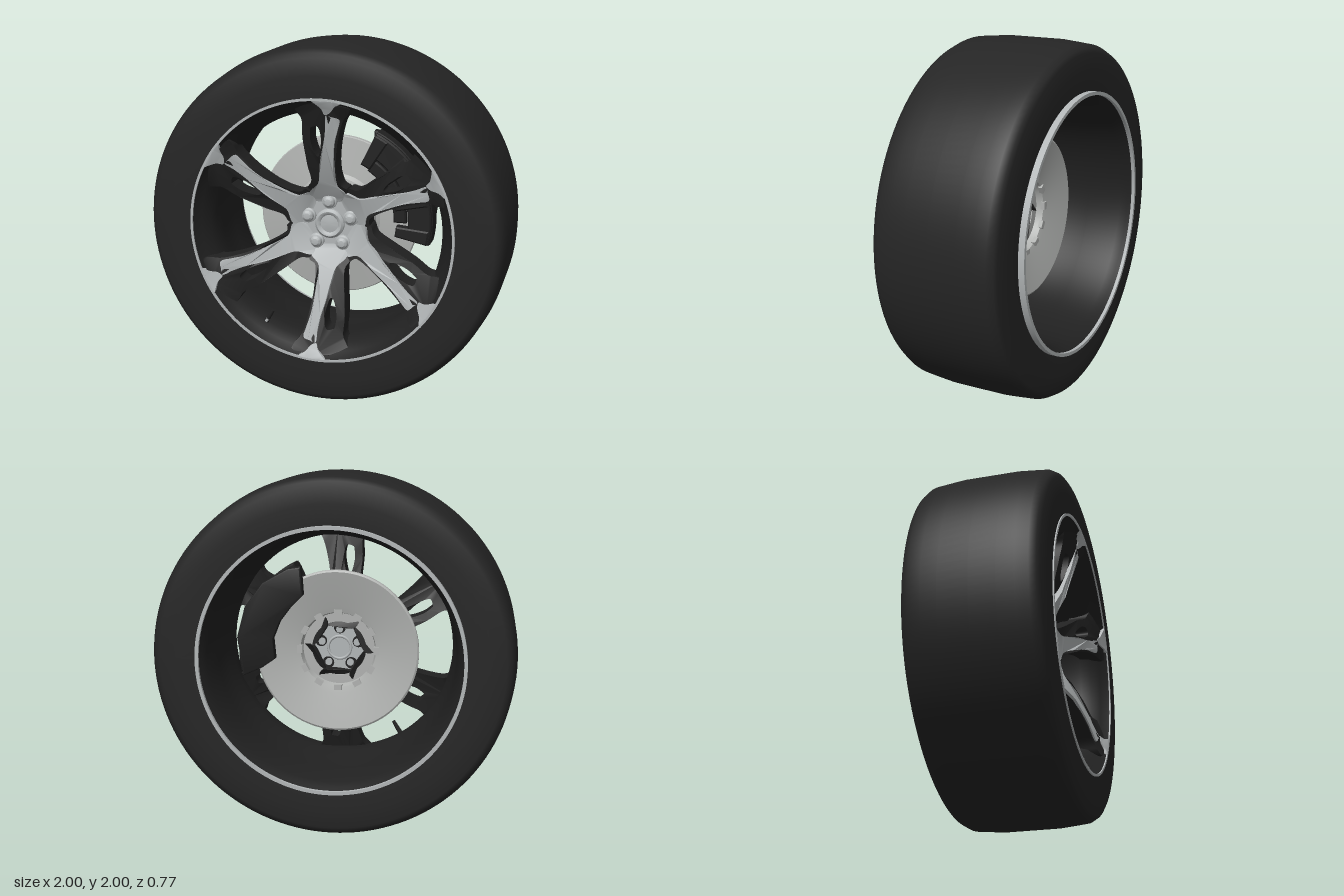
import * as THREE from 'three';
import { toCreasedNormals } from 'three/addons/utils/BufferGeometryUtils.js';

const mat = (name, color) => {
  const m = new THREE.MeshStandardMaterial({ color });
  m.name = name;
  return m;
};
const V = (a) => a.map(([x, y]) => new THREE.Vector2(x, y));

// Front height of the dished wheel face at a given radius
const LIFT = [[0, 0.15], [0.16, 0.15], [0.22, 0.2], [0.34, 0.265], [0.5, 0.31], [0.62, 0.335], [0.68, 0.362], [0.72, 0.386], [1, 0.386]];
function lift(r) {
  const i = Math.max(1, LIFT.findIndex((p) => p[0] >= r));
  const [a, b] = [LIFT[i - 1], LIFT[i]];
  return a[1] + ((b[1] - a[1]) * (r - a[0])) / (b[0] - a[0]);
}

// Turned part around the z axis; profile is [radius, z]
function turned(profile, segments = 96, crease = 0.5) {
  const g = new THREE.LatheGeometry(V(profile), segments).rotateX(Math.PI / 2);
  return crease ? toCreasedNormals(g, crease) : g;
}

// Flat outline, extruded and then bent onto the dished face
function dished(outline, depth, sink, hole) {
  const smooth = (pts) => new THREE.SplineCurve(V([...pts, pts[0]])).getPoints(pts.length * 5).slice(0, -1);
  const shape = new THREE.Shape(smooth(outline));
  if (hole) shape.holes.push(new THREE.Path(smooth(hole)));
  const g = new THREE.ExtrudeGeometry(shape, { depth, bevelEnabled: false });
  const p = g.attributes.position;
  for (let i = 0; i < p.count; i++) {
    const x = p.getX(i), y = p.getY(i);
    p.setZ(i, lift(Math.hypot(x, y)) + p.getZ(i) - depth - sink(x, y));
  }
  return toCreasedNormals(g, 0.6);
}

// Arc-shaped block between two radii and two angles (degrees)
function arcBlock(r0, r1, a0, a1, z0, z1) {
  const s = new THREE.Shape();
  const rad = Math.PI / 180;
  s.absarc(0, 0, r1, a0 * rad, a1 * rad, false);
  s.absarc(0, 0, r0, a1 * rad, a0 * rad, true);
  const b = 0.008;
  const g = new THREE.ExtrudeGeometry(s, { depth: z1 - z0 - 2 * b, bevelSize: b, bevelThickness: b, bevelSegments: 1, curveSegments: 16 });
  return toCreasedNormals(g.translate(0, 0, z0 + b), 0.5);
}

export function createModel() {
  const rubber = mat('tyre rubber', 0x252525);
  const dark = mat('dark paint', 0x212121);
  const silver = mat('machined silver', 0xb2b6b7);
  const steel = mat('brake steel', 0xb0b2b0);

  const model = new THREE.Group();
  model.name = 'wheel';
  const wheel = new THREE.Group();
  wheel.name = 'wheelAssembly';
  wheel.position.y = 1;
  model.add(wheel);
  const add = (name, geometry, material, parent = wheel) => {
    const m = new THREE.Mesh(geometry, material);
    m.name = name;
    parent.add(m);
    return m;
  };

  // Tyre
  add('tyre', turned([[0.73, -0.345], [0.85, -0.352], [0.94, -0.343], [0.965, -0.333], [0.985, -0.3], [0.992, -0.23],
    [1, -0.14], [1, 0.02], [1, 0.16], [0.992, 0.25], [0.985, 0.32], [0.965, 0.355], [0.94, 0.37], [0.85, 0.381], [0.73, 0.378]], 128, 0), rubber);

  // Rim barrel and bright lips
  add('rimBarrel', turned([[0.724, 0.384], [0.715, 0.365], [0.69, 0.33], [0.655, 0.28], [0.642, 0.22], [0.642, 0.14], [0.66, 0.05],
    [0.672, -0.1], [0.685, -0.3], [0.705, -0.34], [0.724, -0.376]], 128), dark);
  wheel.children[1].material.side = THREE.DoubleSide;
  add('frontLip', turned([[0.735, 0.35], [0.735, 0.385], [0.721, 0.385], [0.721, 0.36]], 128), silver);
  add('backLip', turned([[0.716, -0.35], [0.716, -0.38], [0.735, -0.38], [0.735, -0.33]], 128), silver);

  // Six twisted spokes: dark body with a window, bright face strip and rim tab
  const bodyGeo = dished(
    [[0.07, 0.13], [0.108, 0.203], [0.072, 0.235], [0.062, 0.34], [0.08, 0.475], [0.115, 0.6], [0.155, 0.655], [0.15, 0.69],
      [0, 0.705], [-0.15, 0.69], [-0.14, 0.65], [-0.115, 0.6], [-0.118, 0.5], [-0.106, 0.36], [-0.095, 0.25], [-0.122, 0.195], [-0.085, 0.122]],
    0.11, (x) => 0.012 + 0.25 * Math.max(0, -x),
    [[-0.066, 0.565], [-0.022, 0.57], [-0.008, 0.5], [-0.03, 0.405], [-0.055, 0.42], [-0.073, 0.5]]);
  const faceGeo = dished(
    [[0.065, 0.12], [0.096, 0.18], [0.058, 0.22], [0.046, 0.26], [0.05, 0.34], [0.066, 0.475], [0.09, 0.56], [0.103, 0.615],
      [0.065, 0.632], [0.03, 0.638], [0.025, 0.58], [0.012, 0.5], [-0.015, 0.4], [-0.034, 0.3], [-0.052, 0.235], [-0.108, 0.173], [-0.078, 0.115]],
    0.04, () => 0);
  const tabGeo = dished(
    [[-0.035, 0.72], [0.04, 0.722], [0.118, 0.713], [0.085, 0.69], [0.055, 0.655], [0.025, 0.645], [0.01, 0.68]], 0.03, () => 0);
  for (let i = 0; i < 6; i++) {
    const spoke = new THREE.Group();
    spoke.name = `spoke${i + 1}`;
    spoke.rotation.z = (i * Math.PI) / 3;
    add('spokeBody', bodyGeo, dark, spoke);
    add('spokeFace', faceGeo, silver, spoke);
    add('rimTab', tabGeo, silver, spoke);
    wheel.add(spoke);
  }

  // Hub and centre cap
  add('hub', turned([[0, 0.055], [0.07, 0.055], [0.07, 0.065], [0.185, 0.065], [0.19, 0.13], [0.19, 0.172], [0.16, 0.152], [0, 0.152]], 64), silver);
  add('centreCap', turned([[0.085, 0.14], [0.083, 0.165], [0.07, 0.178], [0.057, 0.175], [0.05, 0.166], [0.025, 0.17], [0, 0.171]], 40, 0.7), silver);
  add('hubBackRing', new THREE.TorusGeometry(0.065, 0.008, 8, 40).translate(0, 0, 0.055), silver);

  // Five lug nuts, with their dark sockets on the back of the hub
  const nutGeo = turned([[0.043, 0.145], [0.042, 0.165], [0.034, 0.17], [0.03, 0.185], [0.018, 0.195], [0, 0.198]], 20);
  const socketGeo = new THREE.CircleGeometry(0.034, 20).rotateX(Math.PI).translate(0, 0, 0.063);
  const studGeo = new THREE.CylinderGeometry(0.02, 0.02, 0.02, 12).rotateX(Math.PI / 2).translate(0, 0, 0.057);
  for (let i = 0; i < 5; i++) {
    const a = Math.PI / 2 + (i * Math.PI * 2) / 5;
    const put = (name, g, m, r) => add(name, g, m).position.set(r * Math.cos(a), r * Math.sin(a), 0);
    put('lugNut', nutGeo, silver, 0.128);
    put('lugSocket', socketGeo, dark, 0.113);
    put('lugStud', studGeo, silver, 0.106);
  }

  // Brake disc with a raised centre and a ring of vane blocks behind it
  add('brakeDisc', turned([[0.155, 0.058], [0.155, 0.03], [0.205, 0.03], [0.215, -0.01], [0.25, -0.02], [0.45, -0.062], [0.46, -0.056],
    [0.46, -0.03], [0.455, -0.024], [0.25, 0.005], [0.23, 0.02], [0.22, 0.058], [0.155, 0.058]], 96), steel);
  const vaneGeo = new THREE.BoxGeometry(0.03, 0.045, 0.025);
  for (let i = 0; i < 12; i++) {
    const a = (i * Math.PI) / 6;
    const v = add('discVane', vaneGeo, steel);
    v.position.set(0.218 * Math.cos(a), 0.218 * Math.sin(a), -0.012);
    v.rotation.z = a;
  }

  // Brake caliper: back body, outer bridge, front body, pad and ribs
  const back = new THREE.Shape(V([[0.2, 0.475], [0.26, 0.465], [0.4, 0.385], [0.5, 0.25], [0.545, 0.08], [0.515, -0.125], [0.42, -0.08],
    [0.35, -0.03], [0.36, 0.08], [0.32, 0.18], [0.26, 0.26], [0.19, 0.33]]));
  const backGeo = new THREE.ExtrudeGeometry(back, { depth: 0.04, bevelSize: 0.01, bevelThickness: 0.012, bevelSegments: 2 });
  add('caliperBack', toCreasedNormals(backGeo.translate(0, 0, -0.13), 0.6), dark);
  add('caliperBridge', arcBlock(0.475, 0.545, -12, 64, -0.1, 0.03), dark);
  add('caliperFront', arcBlock(0.425, 0.54, -12, 64, -0.01, 0.05), dark);
  add('caliperPad', arcBlock(0.34, 0.395, 0, 56, -0.015, 0.03), dark);
  for (const a of [-12, 12, 36, 57]) add('caliperRib', arcBlock(0.36, 0.53, a, a + 7, -0.005, 0.06), dark);

  // Tyre valve
  const valve = add('valve', new THREE.CylinderGeometry(0.01, 0.014, 0.08, 10), dark);
  valve.position.set(-0.315, -0.53, 0.29);
  valve.rotation.z = -0.53;
  const cap = add('valveCap', new THREE.CylinderGeometry(0.012, 0.012, 0.02, 10), silver);
  cap.position.set(-0.33, -0.556, 0.292);
  cap.rotation.z = -0.53;

  return model;
}
